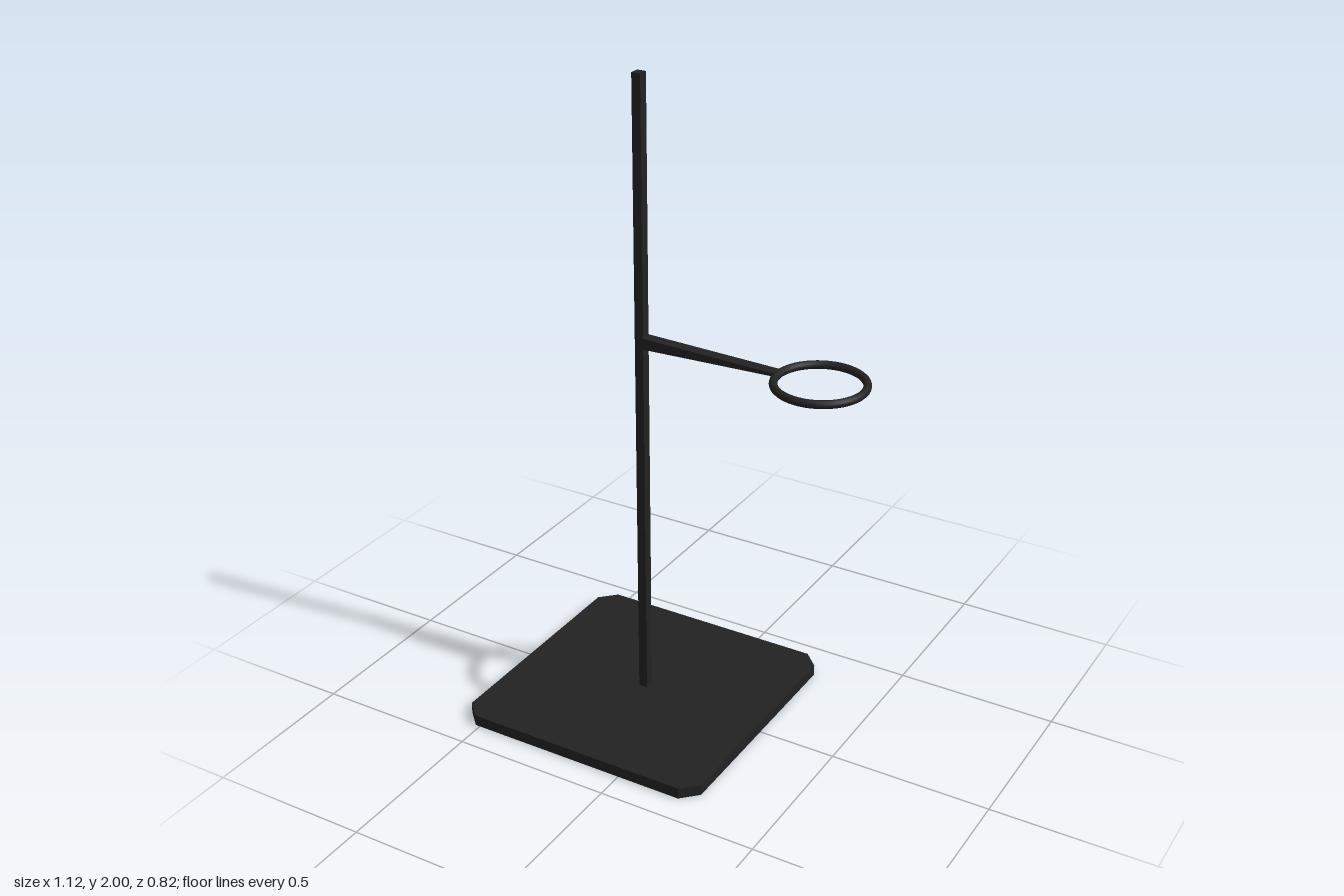
import * as THREE from 'three';

const material = new THREE.MeshStandardMaterial({ color: 0x222222 });

function addPart(group, name, geometry, x = 0, y = 0, z = 0) {
  const mesh = new THREE.Mesh(geometry, material);
  mesh.name = name;
  mesh.position.set(x, y, z);
  group.add(mesh);
  return mesh;
}

function shapeFrom(points) {
  return new THREE.Shape(points.map(([x, y]) => new THREE.Vector2(x, y)));
}

export function createModel() {
  const group = new THREE.Group();
  group.name = 'ringStand';
  const poleX = -0.155;

  // Square base plate with cut corners
  const h = 0.409, c = 0.36, thickness = 0.035;
  const plate = new THREE.ExtrudeGeometry(
    shapeFrom([[-c, -h], [c, -h], [h, -c], [h, c], [c, h], [-c, h], [-h, c], [-h, -c]]),
    { depth: thickness, bevelEnabled: false });
  plate.rotateX(-Math.PI / 2);
  addPart(group, 'base', plate, poleX);

  // Square upright pole
  const poleHeight = 2 - thickness / 2;
  addPart(group, 'pole', new THREE.BoxGeometry(0.028, poleHeight, 0.03), poleX, 2 - poleHeight / 2, 0);

  // Flat arm, thinning towards the ring
  const armWidth = 0.036;
  const arm = new THREE.ExtrudeGeometry(
    shapeFrom([[poleX, 1.192], [0.29, 1.207], [0.29, 1.216], [poleX, 1.227]]),
    { depth: armWidth, bevelEnabled: false });
  addPart(group, 'arm', arm, 0, 0, -armWidth / 2 - 0.001);

  // Horizontal ring at the end of the arm
  const ring = new THREE.TorusGeometry(0.129, 0.012, 12, 48);
  ring.rotateX(Math.PI / 2);
  addPart(group, 'ring', ring, 0.42, 1.212, 0.005);

  return group;
}
